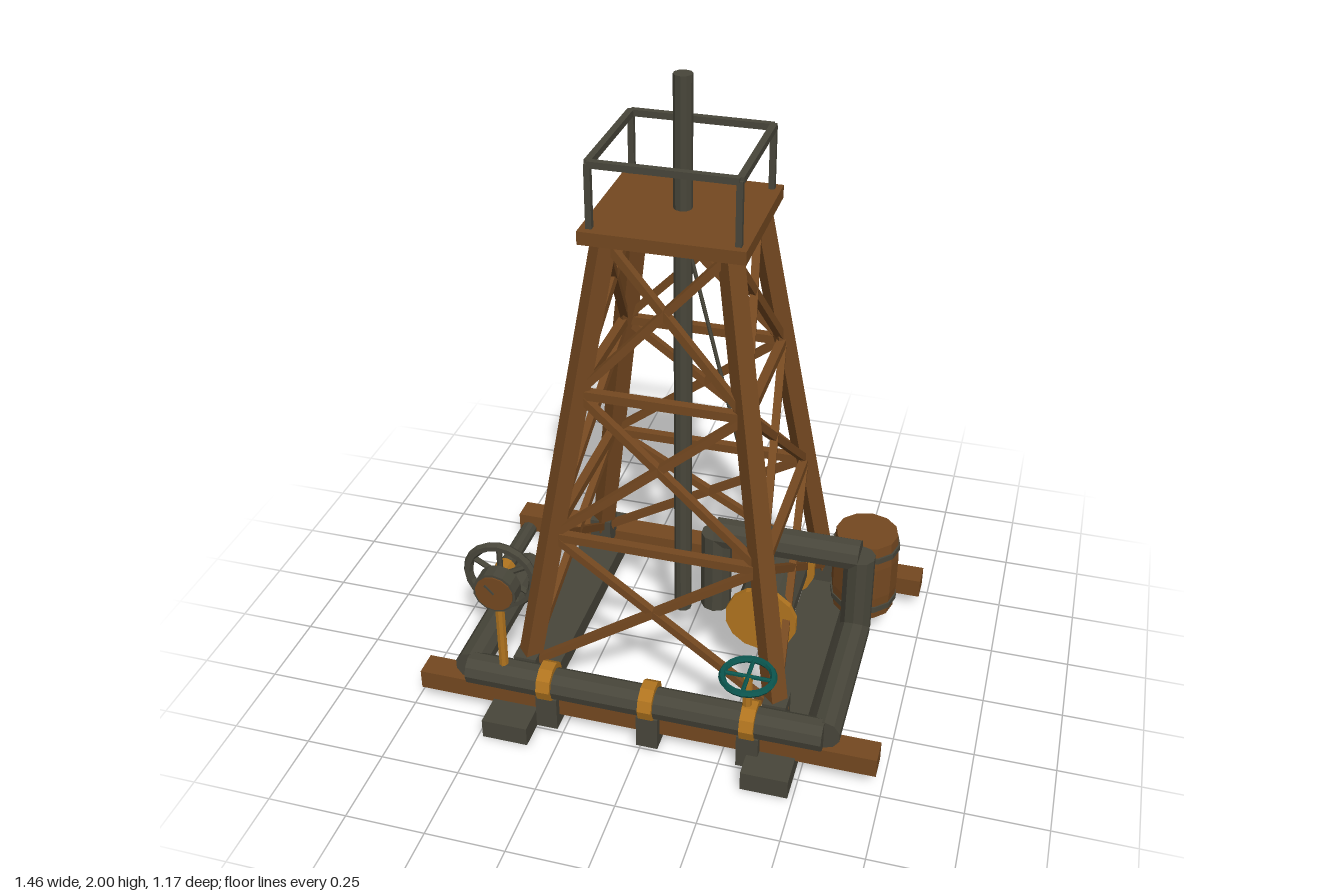
import * as THREE from 'three';

const mat = (name, color) => {
  const m = new THREE.MeshStandardMaterial({ color, flatShading: true });
  m.name = name;
  return m;
};

export function createModel() {
  const wood = mat('wood', 0x744820);
  const iron = mat('dark iron', 0x48463a);
  const brass = mat('brass', 0xb0741f);
  const teal = mat('teal paint', 0x0b554e);

  const root = new THREE.Group();
  root.name = 'drillingDerrick';
  const V = (x, y, z) => new THREE.Vector3(x, y, z);

  const add = (name, geo, m, x = 0, y = 0, z = 0, parent = root) => {
    const mesh = new THREE.Mesh(geo, m);
    mesh.name = name;
    mesh.position.set(x, y, z);
    parent.add(mesh);
    return mesh;
  };
  const box = (name, m, w, h, d, x, y, z) => add(name, new THREE.BoxGeometry(w, h, d), m, x, y, z);
  // Square bar between two points
  const bar = (name, m, a, b, t, parent = root) => {
    const c = a.clone().add(b).multiplyScalar(0.5);
    const mesh = add(name, new THREE.BoxGeometry(t, t, a.distanceTo(b)), m, c.x, c.y, c.z, parent);
    mesh.lookAt(b);
    return mesh;
  };
  // Round rod between two points
  const rod = (name, m, a, b, r, sides = 10, parent = root) => {
    const c = a.clone().add(b).multiplyScalar(0.5);
    const mesh = add(name, new THREE.CylinderGeometry(r, r, a.distanceTo(b), sides), m, c.x, c.y, c.z, parent);
    mesh.quaternion.setFromUnitVectors(V(0, 1, 0), b.clone().sub(a).normalize());
    return mesh;
  };

  // Base: iron skids along z, timber beams along x
  for (const s of [-1, 1]) {
    box('skid', iron, 0.146, 0.065, 1.166, s * 0.412, 0.0325, 0);
    box('baseBeam', wood, 1.46, 0.065, 0.08, 0, 0.0875, s * 0.44);
  }

  // Tower legs taper from base to platform
  const y0 = 0.15, y1 = 1.57;
  const corner = (sx, sz, y) => {
    const t = (y - y0) / (y1 - y0);
    return V(sx * (0.4 - 0.22 * t), y, sz * (0.375 - 0.21 * t));
  };
  const corners = [[1, 1], [1, -1], [-1, -1], [-1, 1]];
  corners.forEach(([sx, sz], i) => {
    box('legFoot', iron, 0.073, 0.095, 0.073, sx * 0.4, 0.1475, sz * 0.377);
    bar('towerLeg', wood, corner(sx, sz, y0), corner(sx, sz, y1), 0.055);

    // Bracing on the side between this corner and the next
    const [nx, nz] = corners[(i + 1) % 4];
    const levels = [0.15, 0.615, 1.09, 1.56];
    for (let k = 0; k < 3; k++) {
      const [a, b] = [levels[k], levels[k + 1]];
      bar('crossBrace', wood, corner(sx, sz, a), corner(nx, nz, b), 0.024);
      bar('crossBrace', wood, corner(nx, nz, a), corner(sx, sz, b), 0.024);
      if (k > 0) bar('girt', wood, corner(sx, sz, a), corner(nx, nz, a), 0.028);
    }

    // Platform railing
    const p = V(sx * 0.212, 1.795, sz * 0.198);
    const q = V(nx * 0.212, 1.795, nz * 0.198);
    bar('railPost', iron, V(p.x, 1.6, p.z), p, 0.018);
    bar('handRail', iron, p, q, 0.02);
  });
  box('platform', wood, 0.48, 0.04, 0.46, 0, 1.585, 0);

  // Drill string and hoisting cable
  rod('drillPipe', iron, V(0, 0.17, 0), V(0, 2, 0), 0.028);
  rod('cable', iron, V(0, 1.55, 0), V(0.29, 0.38, 0), 0.006, 6);

  // Winch drum with brass flanges
  rod('winchDrum', iron, V(0.295, 0.295, -0.14), V(0.295, 0.295, 0.14), 0.092, 14);
  for (const s of [-1, 1])
    rod('drumFlange', brass, V(0.295, 0.295, s * 0.143 - 0.01), V(0.295, 0.295, s * 0.143 + 0.01), 0.115, 14);

  // Pipe run around the tower
  const path = [
    V(-0.56, 0.172, -0.07), V(-0.56, 0.172, 0.47), V(0.565, 0.172, 0.47), V(0.565, 0.172, -0.05),
    V(0.565, 0.458, -0.047), V(0.1, 0.458, -0.047), V(0.1, 0.172, -0.047),
  ];
  for (let i = 1; i < path.length; i++) rod('pipe', iron, path[i - 1], path[i], 0.05);

  // Clamps and stands under the front pipe
  for (const x of [-0.3, 0.025, 0.34]) {
    rod('pipeClamp', brass, V(x - 0.022, 0.178, 0.47), V(x + 0.022, 0.178, 0.47), 0.062, 10);
    box('pipeStand', iron, 0.068, 0.115, 0.07, x, 0.0725, 0.47);
  }

  // Spoked hand wheel, built in the xy plane
  const handWheel = (name, m, outer, tube, spokes) => {
    const g = new THREE.Group();
    g.name = name;
    add('rim', new THREE.TorusGeometry(outer - tube, tube, 6, 20), m, 0, 0, 0, g);
    for (let i = 0; i < spokes; i++) {
      const a = Math.PI / 2 + (i / spokes) * Math.PI * 2;
      const r = outer - tube;
      rod('spoke', m, V(0, 0, 0), V(Math.cos(a) * r, Math.sin(a) * r, 0), tube * 0.6, 6, g);
    }
    root.add(g);
    return g;
  };

  // Large side wheel on its shaft
  handWheel('sideWheel', iron, 0.128, 0.016, 6).position.set(-0.557, 0.325, 0.193);
  rod('wheelHub', brass, V(-0.557, 0.325, 0.145), V(-0.557, 0.325, 0.245), 0.034);
  rod('wheelShaft', iron, V(-0.557, 0.325, -0.07), V(-0.557, 0.325, 0.145), 0.026);

  // Teal valve wheel on the front pipe
  const valve = handWheel('valveWheel', teal, 0.088, 0.011, 4);
  valve.position.set(0.33, 0.345, 0.47);
  valve.rotation.x = -Math.PI / 2;
  rod('valveStem', brass, V(0.33, 0.2, 0.47), V(0.33, 0.345, 0.47), 0.015, 8);

  // Pressure gauge
  rod('gaugeStem', brass, V(-0.443, 0.2, 0.475), V(-0.443, 0.46, 0.475), 0.015, 8);
  rod('gaugeCase', iron, V(-0.443, 0.517, 0.458), V(-0.443, 0.517, 0.508), 0.068, 14);
  rod('gaugeFace', wood, V(-0.443, 0.517, 0.507), V(-0.443, 0.517, 0.512), 0.06, 14);
  bar('gaugeNeedle', iron, V(-0.443, 0.517, 0.512), V(-0.47, 0.545, 0.512), 0.006);

  // Barrel with slight bulge and two hoops
  const profile = [[0, 0.115], [0.102, 0.115], [0.109, 0.2], [0.109, 0.315], [0.102, 0.4], [0, 0.4]];
  add('barrel', new THREE.LatheGeometry(profile.map(([r, y]) => new THREE.Vector2(r, y)), 12), wood, 0.555, 0, -0.26);
  for (const y of [0.155, 0.355])
    rod('barrelHoop', iron, V(0.555, y - 0.01, -0.26), V(0.555, y + 0.01, -0.26), 0.111, 12);

  return root;
}
